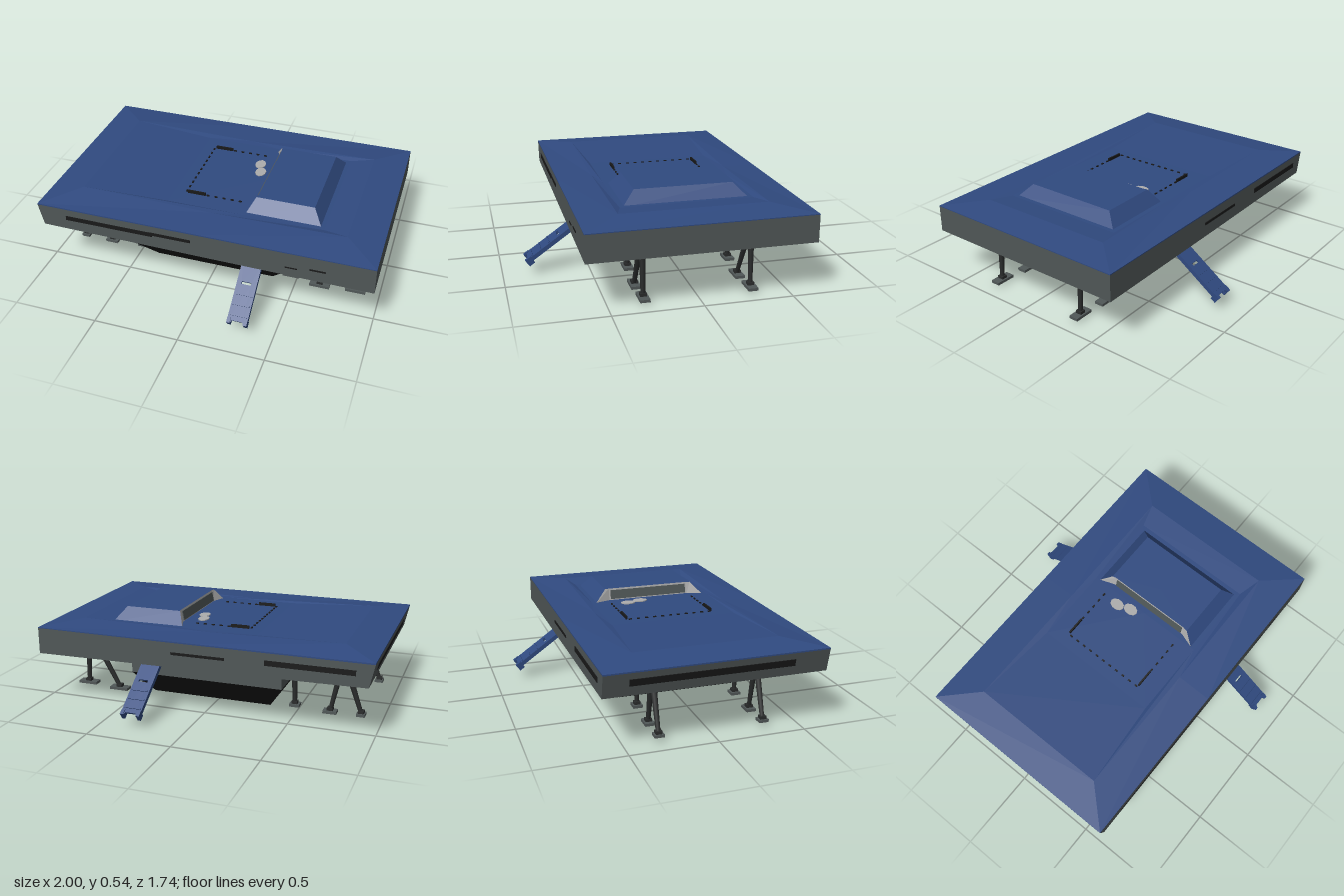
import * as THREE from 'three';

const mat = (name, color, side = THREE.FrontSide) => {
  const m = new THREE.MeshStandardMaterial({ color, side });
  m.name = name;
  return m;
};

// Flat-sided loft through rings of [x, y, z] points, lowest ring first, counter-clockwise from above.
// sideMat(i) picks the material index for each side.
function loft(rings, sideMat = () => 0, capBottom = true, capTop = true) {
  const buckets = [[], [], []];
  const n = rings[0].length;
  const put = (k, ...pts) => pts.forEach(p => buckets[k].push(...p));
  for (let r = 0; r < rings.length - 1; r++) {
    const a = rings[r], b = rings[r + 1];
    for (let i = 0; i < n; i++) {
      const j = (i + 1) % n;
      put(sideMat(i), a[i], a[j], b[j], a[i], b[j], b[i]);
    }
  }
  const cap = (ring, flip) => {
    const c = [0, 1, 2].map(k => ring.reduce((s, p) => s + p[k], 0) / n);
    ring.forEach((p, i) => {
      const q = ring[(i + 1) % n];
      flip ? put(0, c, q, p) : put(0, c, p, q);
    });
  };
  if (capBottom) cap(rings[0], true);
  if (capTop) cap(rings[rings.length - 1], false);
  const g = new THREE.BufferGeometry();
  g.setAttribute('position', new THREE.Float32BufferAttribute(buckets.flat(), 3));
  let start = 0;
  buckets.forEach((b, k) => {
    if (b.length) g.addGroup(start, b.length / 3, k);
    start += b.length / 3;
  });
  g.computeVertexNormals();
  return g;
}

// Rectangle ring with a middle point on the long sides; heights at the -x end, middle and +x end
const ring = (x0, x1, z, ya, ym = ya, yb = ya, zBack = -z) => {
  const xm = (x0 + x1) / 2;
  return [[x0, ya, z], [xm, ym, z], [x1, yb, z], [x1, yb, zBack], [xm, ym, zBack], [x0, ya, zBack]];
};

export function createModel() {
  const root = new THREE.Group();
  root.name = 'platformVehicle';
  const blue = mat('deckBlue', 0x304a80);
  const grey = mat('hullGrey', 0x505757);
  const black = mat('bellyBlack', 0x191919);
  const dark = mat('legDark', 0x2a2c2c);
  const light = mat('paleGrey', 0xadadad);

  const add = (name, geo, material, parent = root) => {
    const m = new THREE.Mesh(geo, material);
    m.name = name;
    parent.add(m);
    return m;
  };
  const box = (name, w, h, d, x, y, z, material, parent = root) => {
    const m = add(name, new THREE.BoxGeometry(w, h, d), material, parent);
    m.position.set(x, y, z);
    return m;
  };

  // Main slab and its shallow bevelled deck
  add('slab', loft([
    ring(-0.97, 1, 0.63, 0.32, 0.308, 0.30),
    ring(-1, 1, 0.63, 0.452, 0.452, 0.455),
  ], undefined, true, false), grey);
  add('deck', loft([
    ring(-1, 1, 0.63, 0.452, 0.452, 0.455),
    ring(-1, 1, 0.63, 0.46),
    ring(-0.8, 0.8, 0.42, 0.485, 0.47, 0.482),
    ring(-0.28, 0.66, 0.38, 0.468),
  ], undefined, false), blue);

  // Dark slots in the slab walls
  for (const [x0, x1, z, y, h] of [
    [-0.82, -0.28, 0.631, 0.396, 0.026], [-0.3, -0.05, 0.631, 0.402, 0.018],
    [0.5, 0.57, 0.631, 0.36, 0.006], [0.64, 0.73, 0.631, 0.375, 0.008],
    [-0.9, -0.4, -0.631, 0.396, 0.03], [-0.17, 0.15, -0.631, 0.39, 0.015],
  ]) box('wallSlot', x1 - x0, h, 0.006, (x0 + x1) / 2, y, z, black);
  box('endSlot', 0.006, 0.04, 0.92, -0.988, 0.396, -0.03, black).rotation.z = 0.22;

  // Cabin with sloping sides and a pale, notched windscreen end
  add('cabin', loft([
    [[0.19, 0.46, 0.36], [0.64, 0.46, 0.36], [0.64, 0.46, -0.36], [0.19, 0.46, -0.36], [0.225, 0.46, -0.26], [0.225, 0.46, 0.26]],
    [[0.235, 0.54, 0.285], [0.58, 0.54, 0.285], [0.58, 0.54, -0.285], [0.235, 0.54, -0.285], [0.24, 0.54, -0.26], [0.24, 0.54, 0.26]],
  ], i => (i < 3 ? 0 : 1), false), [blue, light]);
  box('windscreen', 0.006, 0.056, 0.5, 0.23, 0.502, 0, grey).rotation.z = -0.185;

  // Hatch outline on the deck: dashes, two bars and a pale patch
  const hatch = new THREE.Group();
  hatch.name = 'hatchOutline';
  root.add(hatch);
  for (let i = 0; i < 11; i++)
    box('hatchDash', 0.009, 0.008, 0.018, -0.205, 0.47, -0.25 + i * 0.05, black, hatch);
  for (const z of [-0.27, 0.262]) {
    for (let i = 0; i < 7; i++)
      box('hatchDash', 0.018, 0.008, 0.009, -0.17 + i * 0.05, 0.47, z, black, hatch);
    box('hatchBar', 0.11, 0.02, 0.01, -0.14, 0.476, z, black, hatch);
  }
  for (const [x, z, s] of [[0.13, -0.165, 0.033], [0.155, -0.08, 0.033]]) {
    const p = add('palePatch', new THREE.CylinderGeometry(s, s, 0.008, 10), light, hatch);
    p.position.set(x, 0.47, z);
    p.scale.z = 1.4;
  }

  // Lower hull: grey band above a black tapering belly with a recess underneath
  add('hullBand', loft([ring(-0.46, 0.46, 0.495, 0.2), ring(-0.46, 0.46, 0.495, 0.315)], undefined, false, false), grey);
  add('belly', loft([
    ring(-0.2, 0.26, 0.13, 0.10),
    ring(-0.26, 0.31, 0.18, 0.05),
    ring(-0.36, 0.37, 0.37, 0.05),
    ring(-0.46, 0.46, 0.495, 0.2),
  ], undefined, true, false), black);
  box('recessBlock', 0.07, 0.035, 0.12, -0.15, 0.085, 0, dark);

  // Landing legs: [top x, foot x, foot y, foot width], repeated on both sides
  const legs = [
    [-0.785, -0.88, 0.03, 0.05], [-0.76, -0.70, 0.025, 0.08], [-0.48, -0.49, 0.04, 0.06],
    [0.5, 0.47, 0.04, 0.1], [0.81, 0.645, 0.004, 0.12], [0.85, 0.86, 0.02, 0.12],
  ];
  for (const z of [-0.302, 0.302]) {
    for (const [tx, fx, fy, fw] of legs) {
      const leg = new THREE.Group();
      leg.name = 'landingLeg';
      root.add(leg);
      const a = new THREE.Vector3(fx, fy + 0.01, z), b = new THREE.Vector3(tx, 0.315, z);
      const d = b.clone().sub(a);
      const strut = add('strut', new THREE.CylinderGeometry(0.019, 0.013, d.length(), 6), dark, leg);
      strut.position.copy(a).addScaledVector(d, 0.5);
      strut.quaternion.setFromUnitVectors(new THREE.Vector3(0, 1, 0), d.normalize());
      box('foot', fw, 0.016, 0.056, fx, fy + 0.006, z, grey, leg);
      box('ankle', 0.034, 0.018, 0.036, fx, fy + 0.022, z, dark, leg);
    }
  }

  // Boarding ramps front and back: slotted board with a forked end and side rails
  const board = new THREE.Shape([
    [-0.058, 0], [-0.058, -0.37], [-0.038, -0.37], [-0.03, -0.352], [0.03, -0.352],
    [0.038, -0.37], [0.058, -0.37], [0.058, 0],
  ].map(p => new THREE.Vector2(...p)));
  board.holes.push(new THREE.Path([[-0.03, -0.125], [0.025, -0.125], [0.025, -0.14], [-0.03, -0.14]].map(p => new THREE.Vector2(...p))));
  const boardGeo = new THREE.ExtrudeGeometry(board, { depth: 0.012, bevelEnabled: false });
  for (const turn of [0, Math.PI]) {
    const pivot = new THREE.Group();
    pivot.name = turn ? 'backRamp' : 'frontRamp';
    pivot.position.x = 0.3;
    pivot.rotation.y = turn;
    root.add(pivot);
    const ramp = new THREE.Group();
    ramp.position.set(0, 0.29, 0.56);
    ramp.rotation.x = -0.96;
    pivot.add(ramp);
    add('rampBoard', boardGeo, blue, ramp);
    for (const s of [-1, 1]) {
      box('rampRail', 0.01, 0.36, 0.022, s * 0.053, -0.185, -0.002, blue, ramp);
      box('rampToe', 0.02, 0.035, 0.045, s * 0.048, -0.352, -0.006, blue, ramp);
    }
    for (const y of [-0.2, -0.26, -0.32]) box('rampTread', 0.1, 0.008, 0.006, 0, y, 0.0135, blue, ramp);
    box('rampHinge', 0.116, 0.03, 0.07, 0, 0.293, 0.545, dark, pivot);
  }

  return root;
}
